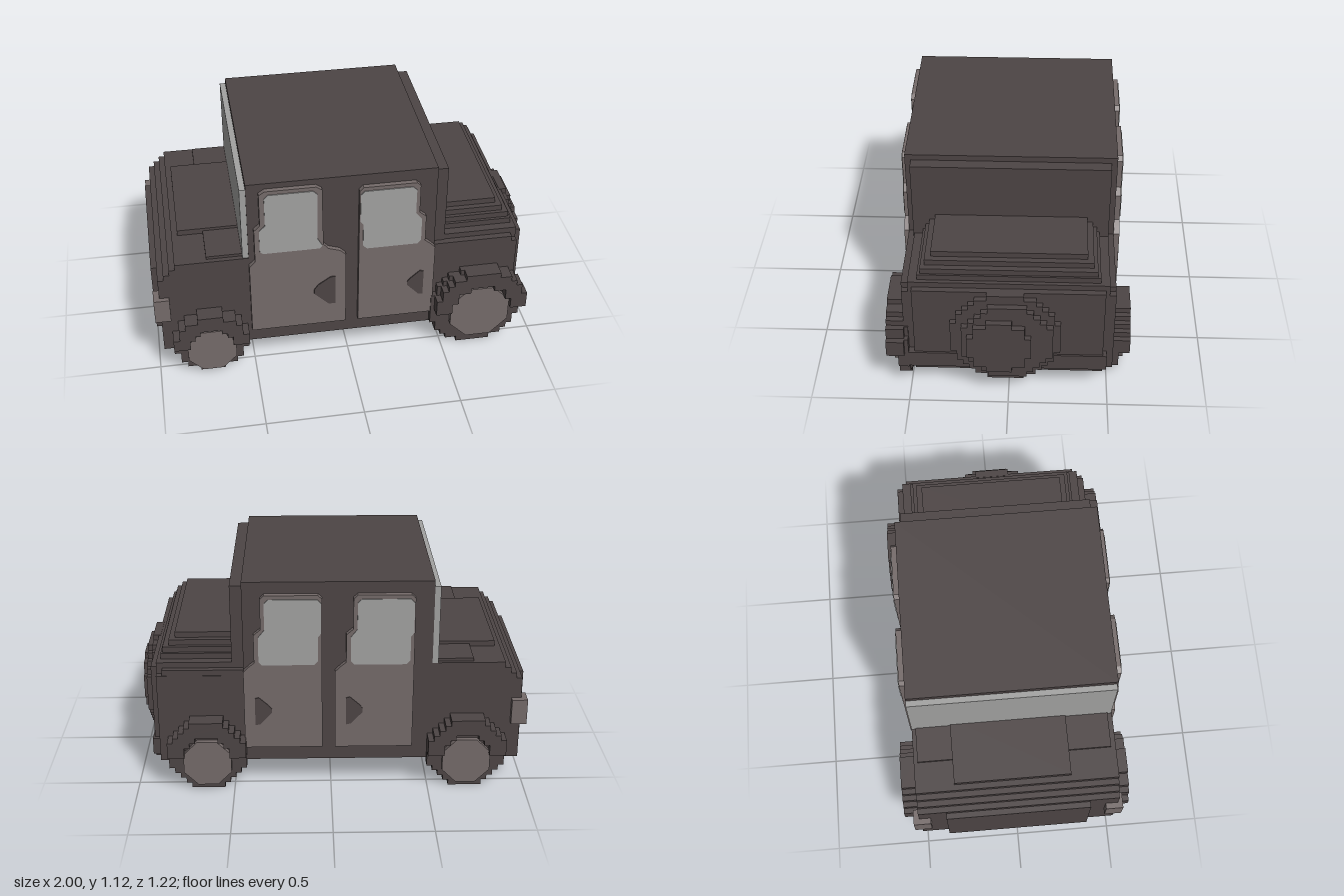
import * as THREE from 'three';

const mat = (name, color, side = THREE.FrontSide) => {
  const m = new THREE.MeshStandardMaterial({ color, side });
  m.name = name;
  return m;
};

export function createModel() {
  const car = new THREE.Group();
  car.name = 'car';
  const body = mat('darkBody', 0x4d4545);
  const panel = mat('doorPanel', 0x756b6a);
  const glass = mat('paleGlass', 0xa2a2a1);
  const U = 0.0305; // block size

  const add = (name, geo, material) => {
    const mesh = new THREE.Mesh(geo, material);
    mesh.name = name;
    car.add(mesh);
    return mesh;
  };
  const box = (name, m, x0, x1, y0, y1, z0, z1) => {
    const g = new THREE.BoxGeometry(x1 - x0, y1 - y0, z1 - z0);
    g.translate((x0 + x1) / 2, (y0 + y1) / 2, (z0 + z1) / 2);
    return add(name, g, m);
  };
  const shapeOf = (pts) => new THREE.Shape(pts.map(([x, y]) => new THREE.Vector2(x, y)));
  const extrude = (shape, depth) =>
    new THREE.ExtrudeGeometry(shape, { depth, bevelEnabled: false });
  // plate in the XY plane lying between two distances from the middle, on side s
  const plate = (name, m, pts, s, d0, d1) => {
    const g = extrude(shapeOf(pts), d1 - d0);
    g.translate(0, 0, s > 0 ? d0 : -d1);
    return add(name, g, m);
  };

  // Upper half of a stepped circle, counter-clockwise
  const halfSteps = (r) => {
    const right = [];
    const n = Math.round(r / U);
    const h = r / n;
    for (let i = 0; i < n; i++) {
      const w = Math.max(1, Math.round(Math.sqrt(r * r - ((i + 0.5) * h) ** 2) / h)) * h;
      right.push([w, i * h], [w, (i + 1) * h]);
    }
    return [...right, ...right.map(([x, y]) => [-x, y]).reverse()];
  };
  const disc = (r) => {
    const top = halfSteps(r);
    return [...top, ...top.map(([x, y]) => [-x, -y])];
  };
  const arch = (r, inner) => [...halfSteps(r), ...halfSteps(inner).reverse()];
  const shift = (pts, dx, dy) => pts.map(([x, y]) => [x + dx, y + dy]);

  // Cab and windscreen
  box('cab', body, -0.51, 0.44, 0.15, 1.13, -0.52, 0.525);
  box('cabRearFrame', body, 0.44, 0.5, 0.62, 1.1, -0.49, 0.495);
  box('windscreen', glass, -0.54, -0.51, 0.69, 1.1, -0.52, 0.52);

  // Hood: stacked layers stepping back towards the top
  [[-0.97, 0.15, 0.6], [-0.94, 0.6, 0.63], [-0.91, 0.63, 0.66], [-0.88, 0.66, 0.69]]
    .forEach(([x, y0, y1]) => box('hoodLayer', body, x, -0.51, y0, y1, -0.52, 0.525));
  box('hoodTop', body, -0.85, -0.51, 0.69, 0.72, -0.32, 0.28);
  box('hoodTopRear', body, -0.72, -0.51, 0.69, 0.705, -0.5, 0.5);
  box('nose', body, -1, -0.97, 0.18, 0.57, -0.375, 0.375);

  // Trunk: stacked layers narrowing in both directions
  [[0.88, 0.522, 0.15, 0.63], [0.88, 0.49, 0.63, 0.69], [0.86, 0.445, 0.69, 0.72],
    [0.85, 0.43, 0.72, 0.75], [0.82, 0.41, 0.75, 0.78], [0.79, 0.38, 0.78, 0.81]]
    .forEach(([x, w, y0, y1]) => box('trunkLayer', body, 0.44, x, y0, y1, -w, w));
  box('trunkShoulder', body, 0.44, 0.85, 0.63, 0.66, -0.52, 0.525);
  box('tailPanel', body, 0.88, 0.91, 0.15, 0.66, -0.47, 0.47);
  box('rearBumper', body, 0.88, 0.92, 0.17, 0.26, -0.49, 0.5);

  // Spare wheel in three stepped discs
  [[0.272, 0.9, 0.94, 0.015, 0.39], [0.225, 0.94, 0.97, 0.005, 0.385], [0.158, 0.97, 1, 0.045, 0.375]]
    .forEach(([r, x0, x1, z, y]) => {
      const g = extrude(shapeOf(disc(r)), x1 - x0);
      g.rotateY(Math.PI / 2);
      g.translate(x0, y, z);
      add('spareWheel', g, body);
    });
  box('spareWheelFoot', body, 0.91, 0.94, 0.12, 0.2, -0.025, 0.09);

  // Wheels: side, tyre x, y, radius, hub x, y, radius
  [[1, 0.675, 0.25, 0.242, 0.695, 0.22, 0.16],
    [1, -0.725, 0.2, 0.195, -0.725, 0.155, 0.128],
    [-1, 0.635, 0.205, 0.2, 0.635, 0.16, 0.125],
    [-1, -0.695, 0.205, 0.2, -0.695, 0.16, 0.125]]
    .forEach(([s, x, y, r, hx, hy, hr]) => {
      plate('tyre', body, shift(disc(r), x, y), s, 0.5, 0.555);
      plate('wheelArch', body, shift(arch(r, r - 0.085), hx, y), s, 0.52, 0.61);
      const hub = new THREE.CylinderGeometry(hr * 1.06, hr * 1.06, 0.03, 8);
      hub.rotateY(Math.PI / 8);
      hub.rotateX(Math.PI / 2);
      hub.translate(hx, hy, s * 0.567);
      add('hub', hub, panel);
    });

  // Doors, windows and handles
  const frontDoor = [[-0.51, 0.235], [-0.02, 0.235], [-0.02, 0.67], [-0.05, 0.7], [-0.11, 0.72],
    [-0.135, 0.75], [-0.14, 1.08], [-0.17, 1.1], [-0.42, 1.1], [-0.45, 1.08], [-0.45, 0.9],
    [-0.48, 0.87], [-0.48, 0.68], [-0.51, 0.65]];
  const frontGlass = [[-0.44, 0.73], [-0.155, 0.73], [-0.14, 0.745], [-0.165, 0.79], [-0.165, 1.06],
    [-0.185, 1.08], [-0.405, 1.08], [-0.425, 1.06], [-0.425, 0.9], [-0.455, 0.87], [-0.455, 0.745]];
  const frontHandle = [[-0.11, 0.365], [-0.075, 0.365], [-0.075, 0.54], [-0.1, 0.54],
    [-0.165, 0.495], [-0.185, 0.465], [-0.185, 0.44]];
  const rearDoor = [[0.045, 0.235], [0.44, 0.235], [0.44, 0.66], [0.41, 0.69], [0.385, 0.71],
    [0.385, 0.86], [0.35, 0.89], [0.35, 1.05], [0.33, 1.07], [0.065, 1.07], [0.045, 1.05]];
  const rearGlass = [[0.085, 0.7], [0.345, 0.7], [0.362, 0.72], [0.362, 0.85], [0.33, 0.89],
    [0.33, 1.03], [0.31, 1.05], [0.07, 1.05], [0.05, 1.03], [0.05, 0.87], [0.065, 0.85], [0.065, 0.72]];
  const rearHandle = [[0.36, 0.37], [0.385, 0.365], [0.385, 0.515], [0.365, 0.52],
    [0.315, 0.475], [0.3, 0.455], [0.3, 0.435]];
  const door = (s, frame, pane, handle) => {
    plate('door', panel, frame, s, 0.515, 0.55);
    plate('doorWindow', glass, pane, s, 0.55, 0.555);
    plate('doorHandle', body, handle, s, 0.55, 0.555);
  };
  door(1, frontDoor, frontGlass, frontHandle);
  door(1, rearDoor, rearGlass, rearHandle);
  door(-1, rearDoor, rearGlass, rearHandle);
  door(-1, ...[rearDoor, rearGlass, rearHandle].map((p) => shift(p, -0.46, 0)));

  // Corner lamps
  for (const s of [1, -1]) {
    const z = [s * 0.46, s * 0.55].sort((a, b) => a - b);
    box('cornerLamp', panel, -1, -0.92, 0.355, 0.49, z[0], z[1]);
  }
  return car;
}
